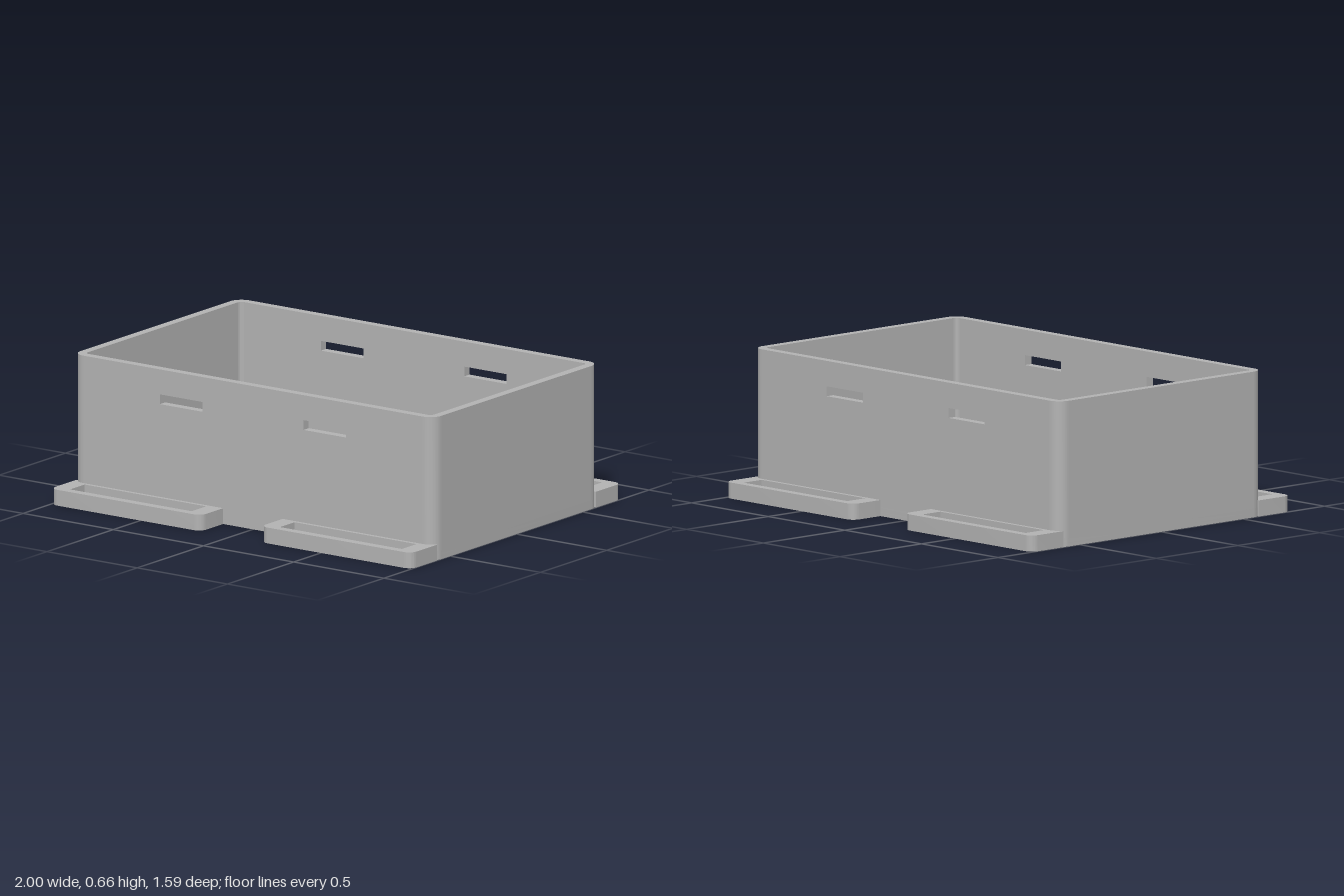
import * as THREE from 'three';
import { toCreasedNormals } from 'three/addons/utils/BufferGeometryUtils.js';

const W = 1, D = 0.627, H = 0.66;      // half width, half depth, height
const T = 0.04, R = 0.06, FLOOR = 0.04; // wall thickness, corner radius, floor

// Rectangle outline with separate radii for its low-y and high-y corners
function rect(x0, y0, x1, y1, rLow = 0, rHigh = rLow, Type = THREE.Shape) {
  const s = new Type();
  s.moveTo(x0 + rLow, y0);
  s.lineTo(x1 - rLow, y0);
  if (rLow) s.absarc(x1 - rLow, y0 + rLow, rLow, -Math.PI / 2, 0, false);
  s.lineTo(x1, y1 - rHigh);
  if (rHigh) s.absarc(x1 - rHigh, y1 - rHigh, rHigh, 0, Math.PI / 2, false);
  s.lineTo(x0 + rHigh, y1);
  if (rHigh) s.absarc(x0 + rHigh, y1 - rHigh, rHigh, Math.PI / 2, Math.PI, false);
  s.lineTo(x0, y0 + rLow);
  if (rLow) s.absarc(x0 + rLow, y0 + rLow, rLow, Math.PI, Math.PI * 1.5, false);
  s.closePath();
  return s;
}
const hole = (x0, y0, x1, y1) => rect(x0, y0, x1, y1, 0, 0, THREE.Path);

function extrude(shape, depth) {
  const g = new THREE.ExtrudeGeometry(shape, { depth, bevelEnabled: false, curveSegments: 10 });
  return toCreasedNormals(g, 0.6);
}

// Plan outline (x, -z) raised from y0 to y1
function slab(shape, y0, y1) {
  return extrude(shape, y1 - y0).rotateX(-Math.PI / 2).translate(0, y0, 0);
}

export function createModel() {
  const model = new THREE.Group();
  model.name = 'enclosureBase';
  const grey = new THREE.MeshStandardMaterial({ color: 0xb3b3b3 });
  grey.name = 'grey plastic';

  function add(name, geometry, parent = model) {
    const mesh = new THREE.Mesh(geometry, grey);
    mesh.name = name;
    parent.add(mesh);
    return mesh;
  }
  function addBox(name, x0, x1, y0, y1, z0, z1, parent) {
    const g = new THREE.BoxGeometry(x1 - x0, y1 - y0, z1 - z0);
    g.translate((x0 + x1) / 2, (y0 + y1) / 2, (z0 + z1) / 2);
    return add(name, g, parent);
  }

  // Floor: a window through the lower layer, a wider recess in the upper one
  const lower = rect(-W, -D, W, D, R);
  lower.holes.push(hole(-0.89, -0.135, -0.66, 0.135));
  add('floorLower', slab(lower, 0, FLOOR / 2));
  const upper = rect(-W, -D, W, D, R);
  upper.holes.push(hole(-0.945, -0.225, -0.6, 0.225));
  add('floorUpper', slab(upper, FLOOR / 2, FLOOR));

  // Two identical halves turned about the vertical axis
  for (const [side, turn] of [['front', 0], ['back', Math.PI]]) {
    const half = new THREE.Group();
    half.name = side + 'Half';
    half.rotation.y = turn;
    model.add(half);

    // Long wall with two slots
    const wall = rect(-W + R, FLOOR, W - R, H);
    wall.holes.push(hole(-0.515, 0.5, -0.28, 0.545), hole(0.28, 0.5, 0.515, 0.545));
    add(side + 'Wall', extrude(wall, T).translate(0, 0, D - T), half);

    // Short wall
    addBox(side + 'EndWall', W - T, W, FLOOR, H, -D + R, D - R, half);

    // Rounded corners, one at each end of the long wall
    for (const [end, spin] of [['A', 0], ['B', -Math.PI / 2]]) {
      const c = new THREE.Shape();
      c.moveTo(0, R - T);
      c.absarc(0, 0, R - T, Math.PI / 2, 0, true);
      c.lineTo(R, 0);
      c.absarc(0, 0, R, 0, Math.PI / 2, false);
      c.closePath();
      const g = slab(c, FLOOR, H).rotateY(spin);
      g.translate(W - R, 0, end === 'A' ? -(D - R) : D - R);
      add(side + 'Corner' + end, g, half);
    }

    // Strap loops along the foot of the long wall
    for (const s of [-1, 1]) {
      const [a, b] = s < 0 ? [-1, -0.165] : [0.165, 1];
      const loop = rect(a, -0.795, b, -0.6, 0.04, 0);
      loop.holes.push(hole(a + 0.08, -0.755, b - 0.08, -0.645));
      add(side + 'StrapLoop', slab(loop, 0, 0.073), half);
    }
  }

  // Inner support rails, each with a stop post at one end
  for (const s of [-1, 1]) {
    const z0 = s < 0 ? -D + T : 0.505, z1 = s < 0 ? -0.505 : D - T;
    addBox('supportRail', -0.775, W - T, FLOOR, 0.11, z0, z1);
    addBox('stopPost', -0.8, -0.775, FLOOR, 0.195, z0, z1);
  }
  return model;
}
